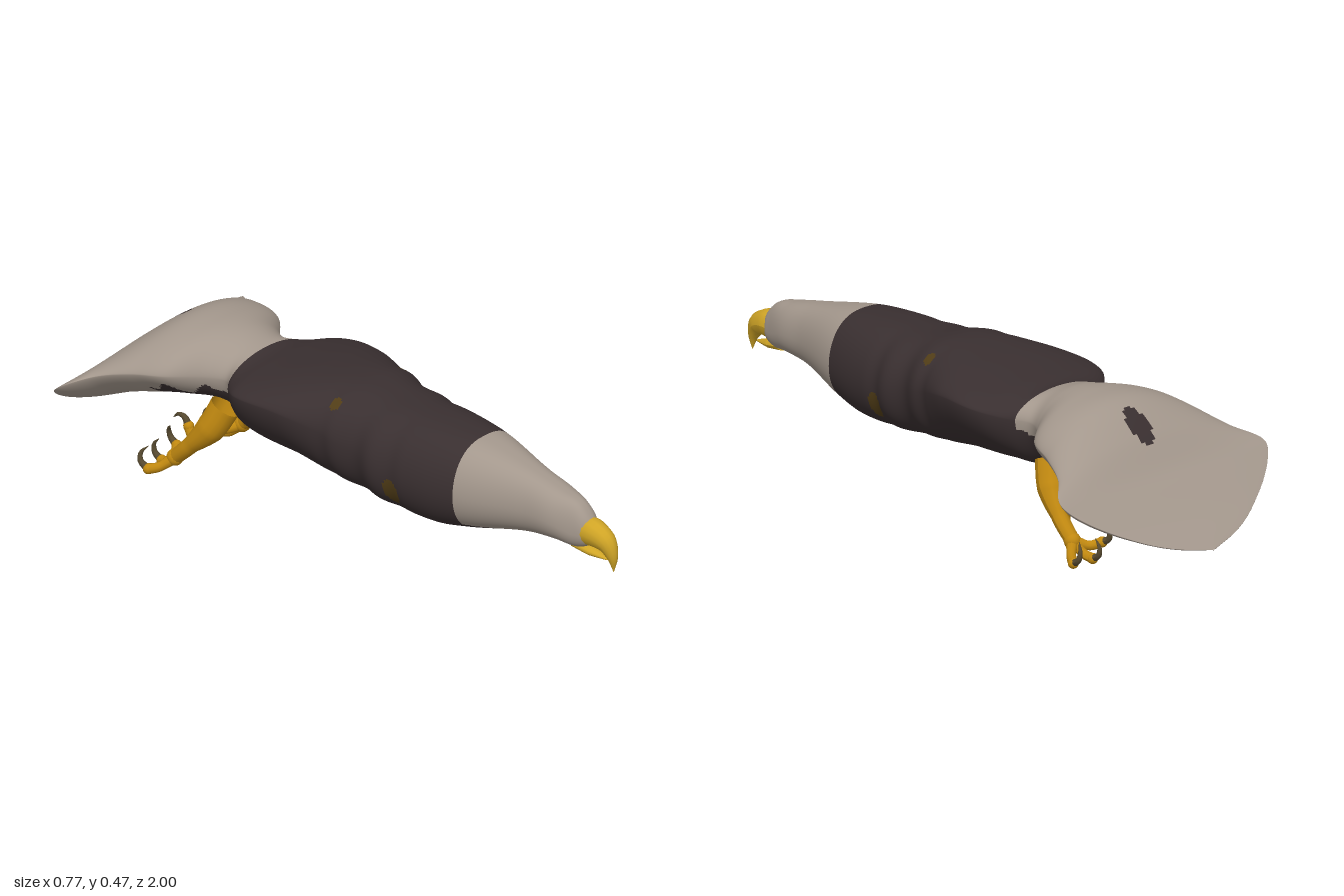
import * as THREE from 'three';

const { lerp, smoothstep } = THREE.MathUtils;

const mat = (name, color, side = THREE.FrontSide) => {
  const m = new THREE.MeshStandardMaterial({ color, side });
  m.name = name;
  return m;
};

// Body cross-sections, beak to tail tip: z, half width, top, edge height, bottom
const SECTIONS = [
  [0.93, 0.002, 0.262, 0.25, 0.24],
  [0.9, 0.034, 0.304, 0.25, 0.212],
  [0.87, 0.046, 0.333, 0.25, 0.2],
  [0.8, 0.067, 0.355, 0.27, 0.203],
  [0.7, 0.08, 0.38, 0.28, 0.195],
  [0.5, 0.14, 0.425, 0.28, 0.15],
  [0.4, 0.16, 0.435, 0.28, 0.133],
  [0.2, 0.175, 0.446, 0.3, 0.145],
  [0.07, 0.185, 0.468, 0.34, 0.16],
  [-0.09, 0.236, 0.457, 0.385, 0.173],
  [-0.25, 0.236, 0.432, 0.385, 0.185],
  [-0.31, 0.19, 0.425, 0.37, 0.19],
  [-0.36, 0.14, 0.438, 0.36, 0.22],
  [-0.42, 0.16, 0.457, 0.36, 0.247],
  [-0.5, 0.24, 0.466, 0.365, 0.25],
  [-0.6, 0.28, 0.458, 0.355, 0.225],
  [-0.7, 0.325, 0.39, 0.33, 0.2],
  [-0.78, 0.385, 0.302, 0.293, 0.175],
  [-0.82, 0.36, 0.267, 0.26, 0.165],
  [-0.9, 0.25, 0.2, 0.195, 0.145],
  [-0.97, 0.11, 0.148, 0.145, 0.128],
  [-1, 0.002, 0.126, 0.125, 0.123],
];

const inside = (x, y, rx, ry) => (x / rx) ** 2 + (y / ry) ** 2 < 1;

// Plumage pattern: 0 pale, 1 dark, 2 bronze fleck
function plumage(x, y, z, underside) {
  const ax = Math.abs(x);
  if (z > 0.5) return y < 0.18 && z < 0.64 && ax < 0.12 ? 1 : 0; // head and throat
  if (z > -0.335) { // back, flanks and belly
    if (y > 0.4 && inside(ax - 0.145, z - 0.06, 0.017, 0.017)) return 2;
    if (ax > 0.1 && inside(z - 0.28, y - 0.23, 0.027, 0.042)) return 2;
    return 1;
  }
  if (!underside) return inside(x, z + 0.675, 0.034, 0.053) ? 1 : 0; // tail spot
  if (z > -0.42 && y < 0.32) return 1;
  if (z > -0.575 && y < 0.315 + 0.02 * Math.sin(z * 70)) return 1; // under-tail
  return inside(x, z + 0.89, 0.1, 0.075) ? 1 : 0;
}

function bodyGeometry(rows = 260, cols = 160) {
  const spline = new THREE.CubicInterpolant(
    SECTIONS.map((s) => -s[0]), SECTIONS.flatMap((s) => s.slice(1)), 4);
  const pos = [];
  for (let i = 0; i <= rows; i++) {
    const z = lerp(0.93, -1, i / rows);
    const [w, top, edge, bottom] = spline.evaluate(-z);
    // Scalloped flanks; boxy chest easing into a sharp-edged tail
    const fade = smoothstep(z, 0, 0.08) * (1 - smoothstep(z, 0.24, 0.34));
    const width = w + 0.009 * fade * Math.cos((z - 0.22) * 45);
    const px = lerp(0.77, 1, smoothstep(-z, -0.1, 0.5));
    const py = 1 + 0.15 * smoothstep(-z, -0.1, 0.1) + 0.25 * smoothstep(-z, 0.4, 0.6);
    // Undercut below the wing shoulders
    const undercut = 0.3 * smoothstep(-z, -0.05, 0.1) * (1 - smoothstep(-z, 0.25, 0.36));
    for (let j = 0; j < cols; j++) {
      const a = (j / cols) * Math.PI * 2, c = Math.cos(a), s = Math.sin(a);
      const y = s > 0 ? (top - edge) * s ** py : (bottom - edge) * (-s) ** py;
      const p = s > 0 ? px : px + undercut;
      pos.push(width * Math.sign(c) * Math.abs(c) ** p, edge + y, z);
    }
  }
  const faces = [[], [], []];
  for (let i = 0; i < rows; i++) {
    for (let j = 0; j < cols; j++) {
      const k = (j + 1) % cols;
      const a = i * cols + j, b = i * cols + k, c = a + cols, d = b + cols;
      const mid = [0, 1, 2].map((n) => (pos[a * 3 + n] + pos[d * 3 + n]) / 2);
      faces[plumage(...mid, j >= cols / 2)].push(a, c, b, b, c, d);
    }
  }
  const geo = new THREE.BufferGeometry();
  geo.setAttribute('position', new THREE.Float32BufferAttribute(pos, 3));
  geo.setIndex(faces.flat());
  let start = 0;
  faces.forEach((f, n) => {
    geo.addGroup(start, f.length, n);
    start += f.length;
  });
  geo.computeVertexNormals();
  return geo;
}

// Tube along points whose radius follows a list of values; flat scales it in x
function taperedTube(points, radii, flat = 1, seg = 24, sides = 14) {
  const curve = new THREE.CatmullRomCurve3(points.map((p) => new THREE.Vector3(...p)));
  const geo = new THREE.TubeGeometry(curve, seg, 1, sides);
  const p = geo.attributes.position, v = new THREE.Vector3();
  for (let k = 0; k < p.count; k++) {
    const u = Math.floor(k / (sides + 1)) / seg;
    const t = u * (radii.length - 1), n = Math.min(Math.floor(t), radii.length - 2);
    const r = lerp(radii[n], radii[n + 1], t - n);
    const c = curve.getPointAt(u);
    v.fromBufferAttribute(p, k).sub(c).multiplyScalar(r);
    p.setXYZ(k, c.x + v.x * flat, c.y + v.y, c.z + v.z);
  }
  geo.computeVertexNormals();
  return geo;
}

// Claw curve from a toe tip: reaches onward, then hooks over, bowing sideways by lean
function clawPath([x, y, z], lean, upright) {
  return [[0, 0], [0.026, 0.017], [0.029, 0.042], [0.011, 0.064]].map(([reach, hook], i) => {
    const [up, back] = upright ? [reach * 0.9, hook * 0.9] : [hook, reach];
    return [x + lean * (i * i * 0.3 - i * 0.55), y + up, z - back];
  });
}

// Toes on the left foot: name, middle point, tip, claw lean
const TOES = [
  ['outerToe', [0.175, 0.028, -0.585], [0.191, 0.019, -0.612], -0.012],
  ['middleToe', [0.13, 0.025, -0.59], [0.125, 0.019, -0.62], 0],
  ['innerToe', [0.105, 0.043, -0.585], [0.077, 0.053, -0.606], 0.014],
  ['hindToe', [0.125, 0.108, -0.503], [0.12, 0.158, -0.522], 0],
];

export function createModel() {
  const model = new THREE.Group();
  const pale = mat('pale feathers', 0xa3978c);
  const dark = mat('dark feathers', 0x392f30);
  const bronze = mat('bronze fleck', 0x513d17);
  const yellow = mat('beak yellow', 0xd0a526, THREE.DoubleSide);
  const ochre = mat('leg ochre', 0xc08810, THREE.DoubleSide);
  const horn = mat('claw horn', 0x574a30, THREE.DoubleSide);

  const add = (parent, name, geo, material) => {
    const m = new THREE.Mesh(geo, material);
    m.name = name;
    parent.add(m);
    return m;
  };

  add(model, 'headBodyAndTail', bodyGeometry(), [pale, dark, bronze]);

  // Hooked upper beak and slim lower beak
  add(model, 'upperBeak', taperedTube(
    [[0, 0.255, 0.87], [0, 0.254, 0.92], [0, 0.238, 0.96], [0, 0.2, 0.983], [0, 0.155, 0.988]],
    [0.044, 0.042, 0.033, 0.018, 0.001], 0.9), yellow);
  add(model, 'lowerBeak', taperedTube(
    [[0, 0.208, 0.85], [0, 0.196, 0.91], [0, 0.187, 0.965]], [0.017, 0.014, 0.003], 1.7), yellow);

  for (const side of [1, -1]) {
    const leg = new THREE.Group();
    leg.name = side > 0 ? 'leftLeg' : 'rightLeg';
    const at = (pts) => pts.map(([x, y, z]) => [x * side, y, z]);
    const ankle = [0.143, 0.058, -0.553];
    add(leg, 'shank', taperedTube(
      at([[0.095, 0.25, -0.405], [0.118, 0.185, -0.435], [0.14, 0.115, -0.495], ankle]),
      [0.046, 0.043, 0.025, 0.022]), ochre);
    const foot = add(leg, 'foot', new THREE.SphereGeometry(0.025, 16, 12), ochre);
    foot.position.set(ankle[0] * side, ankle[1], ankle[2]);
    for (const [name, middle, tip, lean] of TOES) {
      add(leg, name, taperedTube(at([ankle, middle, tip]), [0.019, 0.014, 0.015], 1, 12, 10), ochre);
      const knuckle = add(leg, name + 'Knuckle', new THREE.SphereGeometry(0.016, 12, 10), ochre);
      knuckle.position.set(tip[0] * side, tip[1], tip[2]);
      add(leg, name + 'Claw', taperedTube(at(clawPath(tip, lean, name === 'hindToe')),
        [0.012, 0.009, 0.006, 0.001], 1, 14, 8), horn);
    }
    model.add(leg);
  }
  return model;
}
